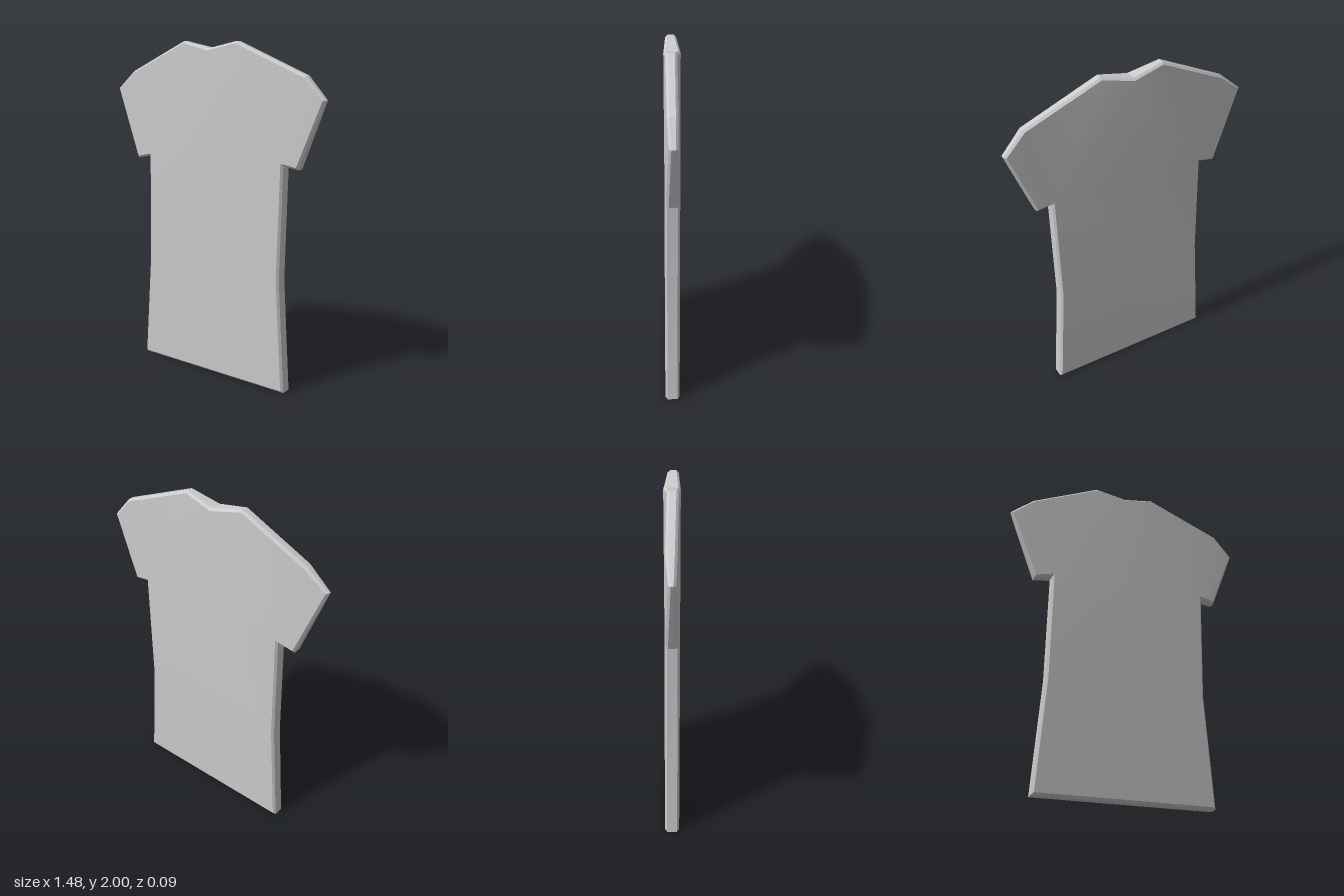
import * as THREE from 'three';
import { toCreasedNormals } from 'three/addons/utils/BufferGeometryUtils.js';

// Outline, counter-clockwise from the front: x, y, front z, back z
const OUTLINE = [
  [-0.53, 0, 0.043, -0.042], [0.53, 0, 0.043, -0.042],              // hem
  [0.485, 0.67, 0.043, -0.042], [0.50, 1.33, 0.042, -0.04],         // side, underarm
  [0.59, 1.315, 0.034, -0.034], [0.74, 1.695, 0.022, -0.026],       // sleeve opening
  [0.625, 1.82, 0.03, -0.027], [0.175, 2, 0.034, -0.028],           // shoulder
  [-0.01, 1.96, 0.045, -0.05],                                      // neck
  [-0.2, 2, 0.034, -0.028], [-0.605, 1.82, 0.027, -0.033],          // shoulder
  [-0.74, 1.71, 0.021, -0.018], [-0.575, 1.283, 0.034, -0.034],     // sleeve opening
  [-0.47, 1.305, 0.042, -0.04], [-0.48, 0.66, 0.043, -0.042],       // underarm, side
];

// Panel triangles: torso, chest, then a fan for each sleeve
const PANEL = [
  [0, 1, 2], [0, 2, 14], [14, 2, 3], [14, 3, 13], [13, 3, 8],
  [3, 4, 5], [3, 5, 6], [3, 6, 7], [3, 7, 8],
  [13, 8, 9], [13, 9, 10], [13, 10, 11], [13, 11, 12],
];

const INSET = 0.012, BEVEL = 0.013;

// Mitred inward offset of each outline corner
function insetOutline(points, amount) {
  const n = points.length;
  const normal = (a, b) => new THREE.Vector2(a[1] - b[1], b[0] - a[0]).normalize();
  return points.map((p, i) => {
    const n1 = normal(points[(i + n - 1) % n], p);
    const n2 = normal(p, points[(i + 1) % n]);
    const m = n1.clone().add(n2).multiplyScalar(amount / (1 + n1.dot(n2)));
    return [p[0] + m.x, p[1] + m.y];
  });
}

function shirtGeometry() {
  const n = OUTLINE.length;
  const inner = insetOutline(OUTLINE, INSET);
  const positions = [], index = [];
  // Four rings from front to back: face edge, rim, rim, face edge
  OUTLINE.forEach((p, i) => positions.push(...inner[i], p[2]));
  OUTLINE.forEach((p) => positions.push(p[0], p[1], p[2] - BEVEL));
  OUTLINE.forEach((p) => positions.push(p[0], p[1], p[3] + BEVEL));
  OUTLINE.forEach((p, i) => positions.push(...inner[i], p[3]));

  // Bevels and rim
  for (let r = 0; r < 3; r++) {
    for (let i = 0; i < n; i++) {
      const j = (i + 1) % n, a = r * n, b = a + n;
      index.push(a + i, b + i, b + j, a + i, b + j, a + j);
    }
  }
  // Front and back panels
  for (const [a, b, c] of PANEL) {
    index.push(a, b, c, 3 * n + a, 3 * n + c, 3 * n + b);
  }
  const geometry = new THREE.BufferGeometry();
  geometry.setAttribute('position', new THREE.Float32BufferAttribute(positions, 3));
  geometry.setIndex(index);
  return toCreasedNormals(geometry, 0.35);
}

export function createModel() {
  const group = new THREE.Group();
  group.name = 'shirt';
  const body = new THREE.Mesh(shirtGeometry(), new THREE.MeshStandardMaterial({ color: 0xcccccc }));
  body.name = 'shirtBody';
  group.add(body);
  return group;
}
